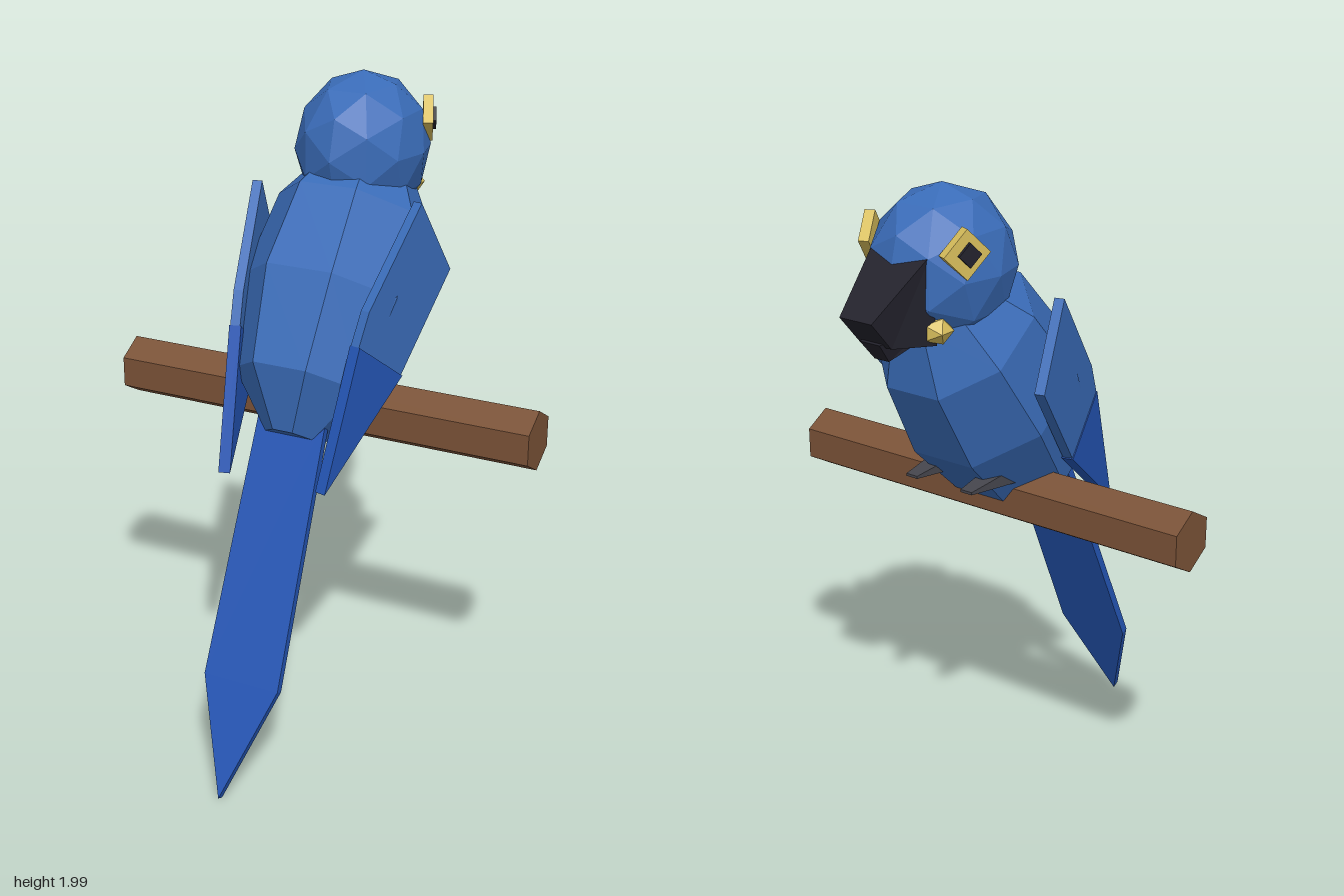
import * as THREE from 'three';

const mat = (name, color) => {
  const m = new THREE.MeshStandardMaterial({ color });
  m.name = name;
  return m;
};

// Faceted normals for the low-poly look
function facet(geo) {
  const g = geo.index ? geo.toNonIndexed() : geo;
  g.computeVertexNormals();
  return g;
}

// Box whose corners follow a side profile: [z, y, halfWidth] for each corner
function wedge(backTop, frontTop, frontLow, backLow) {
  const g = new THREE.BoxGeometry(2, 2, 2);
  const p = g.attributes.position;
  for (let i = 0; i < p.count; i++) {
    const front = p.getZ(i) < 0, top = p.getY(i) > 0;
    const [z, y, w] = top ? (front ? frontTop : backTop) : (front ? frontLow : backLow);
    p.setXYZ(i, Math.sign(p.getX(i)) * w, y, z);
  }
  return g;
}

// Flat plate cut from an outline, centred on its thickness
function plate(points, thickness) {
  const shape = new THREE.Shape(points.map(([x, y]) => new THREE.Vector2(x, y)));
  const g = new THREE.ExtrudeGeometry(shape, { depth: thickness, bevelEnabled: false });
  return g.translate(0, 0, -thickness / 2);
}

export function createModel() {
  const model = new THREE.Group();
  model.name = 'parrotOnPerch';

  const blue = mat('plumage blue', 0x3a6cb8);
  const royal = mat('feather blue', 0x2455b4);
  const black = mat('beak black', 0x23222c);
  const yellow = mat('skin yellow', 0xd8be5c);
  const grey = mat('foot grey', 0x45454d);
  const brown = mat('wood brown', 0x7a5237);

  const add = (name, geo, material) => {
    const m = new THREE.Mesh(facet(geo), material);
    m.name = name;
    model.add(m);
    return m;
  };

  // Perch: six-sided rod
  add('perch', new THREE.CylinderGeometry(0.094, 0.094, 1.37, 6)
    .rotateZ(Math.PI / 2).rotateX(Math.PI / 2)
    .rotateX(Math.PI / 2 * 1).rotateX(Math.PI / 2)
    .translate(0, 1.028, -0.056), brown);

  // Body: eight-sided barrel leaning forward
  const rings = [[0, 0], [0.09, 0], [0.238, 0.16], [0.292, 0.445], [0.254, 0.715], [0.14, 0.885], [0, 0.885]];
  add('body', new THREE.LatheGeometry(rings.map(([r, y]) => new THREE.Vector2(r, y)), 8)
    .rotateY(Math.PI / 8).scale(0.94, 1, 1).rotateX(-0.625).translate(0, 0.99, 0.17), blue);

  // Head
  add('head', new THREE.IcosahedronGeometry(1, 1)
    .scale(0.2, 0.23, 0.23).translate(0, 1.77, -0.295), blue);

  // Beak
  add('upperBeak', wedge([-0.47, 1.85, 0.1], [-0.663, 1.7, 0.055], [-0.585, 1.612, 0.055], [-0.45, 1.595, 0.1]), black);
  add('lowerBeak', wedge([-0.45, 1.63, 0.05], [-0.61, 1.625, 0.035], [-0.562, 1.565, 0.025], [-0.46, 1.6, 0.05]), black);

  // Tail: pointed plate sloping back and down
  add('tail', plate([[-0.11, 0.08], [0.11, 0.08], [0.123, -0.74], [0, -1.09], [-0.123, -0.74]], 0.025)
    .rotateX(-0.435).translate(0, 1.0, 0.19), royal);

  // Wing outlines, measured forward and up
  const upperWing = [[0.115, 1.675], [0.262, 1.44], [0.03, 1.165], [-0.165, 1.31], [-0.12, 1.405]];
  const lowerWing = [[-0.165, 1.31], [0.035, 1.165], [-0.318, 0.9]];

  for (const s of [1, -1]) {
    const side = s > 0 ? 'left' : 'right';

    for (const [name, outline, t, material] of [
      ['Wing', upperWing, 0.03, blue], ['WingFeathers', lowerWing, 0.036, royal]]) {
      add(side + name, plate(outline, t)
        .rotateY(Math.PI / 2 - s * 0.245).translate(s * 0.236, 0, 0), material);
    }

    // Diamond eye patch and pupil
    for (const [name, r, x, material] of [['EyePatch', 0.07, 0.163, yellow], ['Eye', 0.034, 0.174, black]]) {
      add(side + name, new THREE.CylinderGeometry(r, r, 0.03, 4)
        .rotateZ(-s * Math.PI / 2).rotateY(s * 0.42).translate(s * x, 1.85, -0.405), material);
    }

    // Bare skin beside the beak
    add(side + 'CheekPatch', new THREE.IcosahedronGeometry(1, 0)
      .scale(0.055, 0.042, 0.05).translate(s * 0.085, 1.635, -0.44), yellow);

    // Foot: flattened, tapered toes
    add(side + 'Foot', wedge([-0.12, 1.15, 0.04], [-0.33, 1.128, 0.02], [-0.33, 1.12, 0.02], [-0.14, 1.1, 0.04])
      .translate(s * 0.1, 0, 0), grey);
  }

  return model;
}
